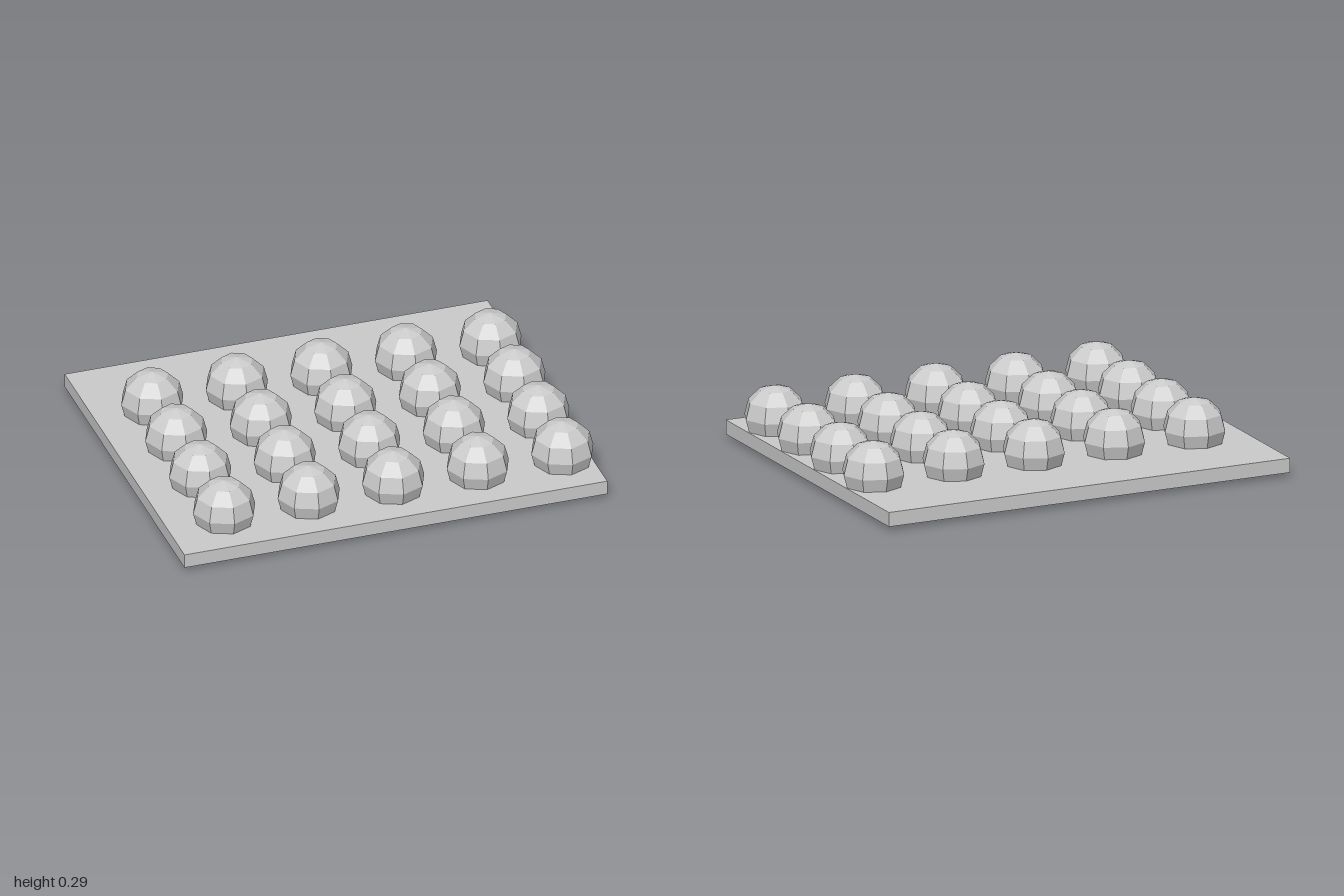
import * as THREE from 'three';

export function createModel() {
  const model = new THREE.Group();
  const material = new THREE.MeshStandardMaterial({ color: 0xcccccc, flatShading: true });

  // Everything sits on a regular module: the plate is 30 x 25 x 1 modules
  const u = 2 / 30.2;
  const radius = 2.2 * u;

  // Flat base plate, its left edge at x = -1
  const plate = new THREE.Mesh(new THREE.BoxGeometry(30 * u, u, 25 * u), material);
  plate.name = 'basePlate';
  plate.position.set(-1 + 15 * u, 0.8 * u, 0);
  model.add(plate);

  // Grid of faceted balls sunk through the plate, 5 columns by 4 rows
  const balls = new THREE.Group();
  balls.name = 'balls';
  const ballGeometry = new THREE.SphereGeometry(radius, 8, 6);
  for (let column = 0; column < 5; column++) {
    for (let row = 0; row < 4; row++) {
      const ball = new THREE.Mesh(ballGeometry, material);
      ball.name = `ball_${column + 1}_${row + 1}`;
      ball.position.set(-1 + (4 + 6 * column) * u, radius, (-6 + 5 * row) * u);
      balls.add(ball);
    }
  }
  model.add(balls);

  return model;
}
